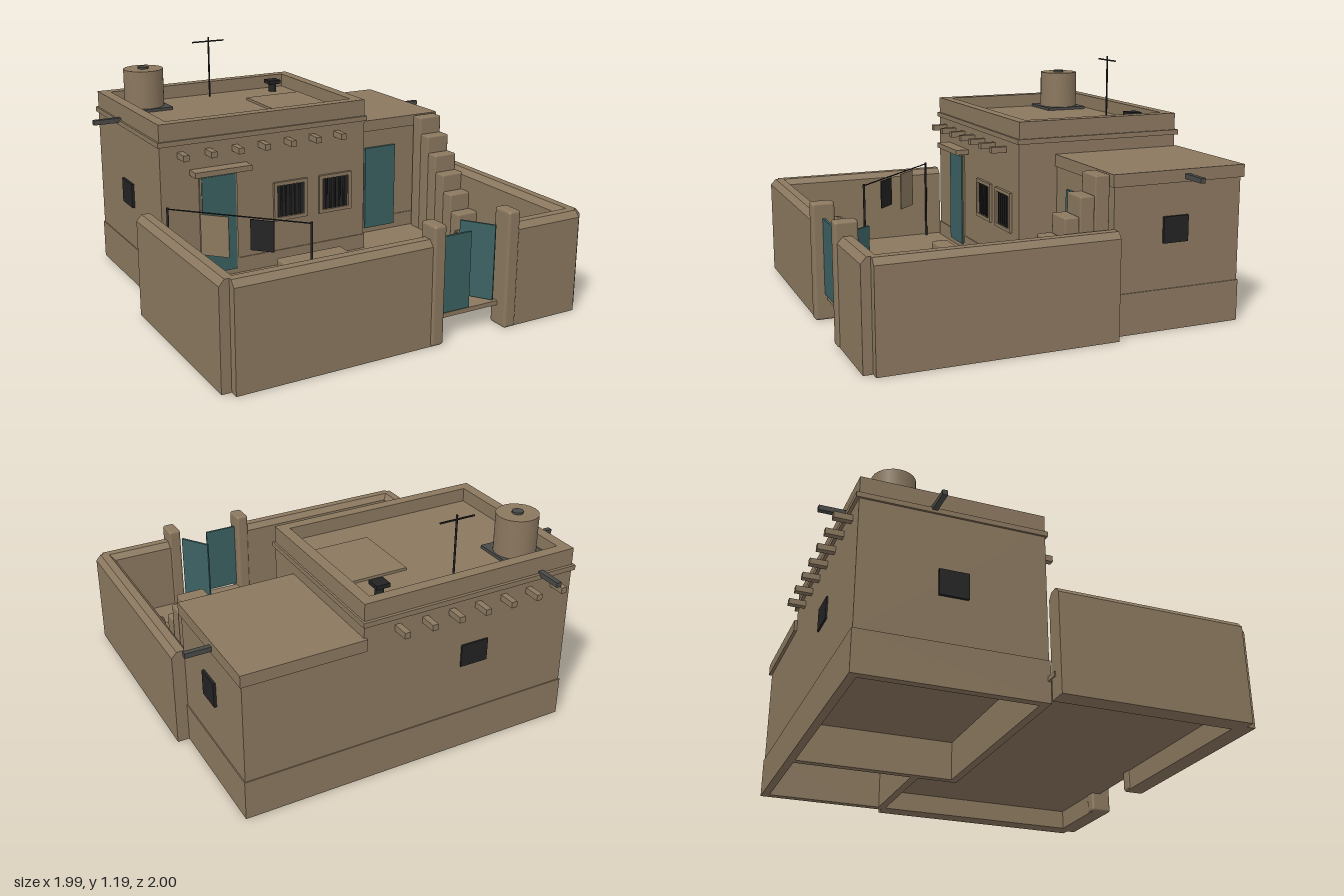
import * as THREE from 'three';
import { RoundedBoxGeometry } from 'three/addons/geometries/RoundedBoxGeometry.js';

export function createModel() {
  const model = new THREE.Group();
  const material = (name, color, extra = {}) => {
    const m = new THREE.MeshStandardMaterial({ color, ...extra });
    m.name = name;
    return m;
  };
  const mud = material('mud plaster', 0x8b785f);
  const teal = material('teal paint', 0x3b6162);
  const dark = material('dark iron', 0x222322);
  const grey = material('grey metal', 0x4a4a48);

  const add = (name, geometry, mat, x = 0, y = 0, z = 0) => {
    const mesh = new THREE.Mesh(geometry, mat);
    mesh.name = name;
    mesh.position.set(x, y, z);
    model.add(mesh);
    return mesh;
  };
  // Box given by its limits, optionally with rounded edges
  const box = (name, mat, x0, x1, y0, y1, z0, z1, r = 0) => {
    const s = [x1 - x0, y1 - y0, z1 - z0];
    const g = r ? new RoundedBoxGeometry(...s, 2, r) : new THREE.BoxGeometry(...s);
    return add(name, g, mat, (x0 + x1) / 2, (y0 + y1) / 2, (z0 + z1) / 2);
  };
  // Rectangular ring of walls, open above and below
  const ring = (name, x0, x1, y0, y1, z0, z1, t) => {
    const rect = (P, d) => new P([
      new THREE.Vector2(x0 + d, -z1 + d), new THREE.Vector2(x1 - d, -z1 + d),
      new THREE.Vector2(x1 - d, -z0 - d), new THREE.Vector2(x0 + d, -z0 - d)]);
    const shape = rect(THREE.Shape, 0);
    shape.holes.push(rect(THREE.Path, t));
    const g = new THREE.ExtrudeGeometry(shape, { depth: y1 - y0, bevelEnabled: false });
    return add(name, g.rotateX(-Math.PI / 2), mud, 0, y0, 0);
  };
  const cylinder = (name, mat, r, h, x, y, z, sides = 10) =>
    add(name, new THREE.CylinderGeometry(r, r, h, sides), mat, x, y, z);

  // Main house with parapet and cornice
  box('mainHouse', mud, -0.86, 0.27, 0.2, 0.86, -0.865, 0.01);
  ring('mainPlinth', -0.865, 0.275, 0, 0.2, -0.87, 0.015, 0.04);
  ring('parapet', -0.86, 0.27, 0.86, 0.93, -0.865, 0.01, 0.055);
  ring('cornice', -0.87, 0.28, 0.82, 0.845, -0.88, 0.02, 0.03);

  // Side annex with overhanging roof
  box('annex', mud, 0.26, 0.855, 0.2, 0.7, -0.865, -0.195);
  ring('annexPlinth', 0.235, 0.86, 0, 0.2, -0.87, -0.19, 0.04);
  box('annexRoof', mud, 0.26, 0.865, 0.7, 0.76, -0.88, -0.185);

  // Roof beams showing at front and back
  for (let i = 0; i < 7; i++) {
    const x = -0.755 + i * 0.1425;
    box('roofBeam', mud, x - 0.015, x + 0.015, 0.757, 0.787, -0.95, 0.09);
  }

  // Doors
  ring('doorFrame', -0.665, -0.465, 0.16, 0.65, 0.005, 0.02, 0.005);
  box('mainDoor', teal, -0.655, -0.475, 0.15, 0.645, 0, 0.025);
  box('doorCanopy', mud, -0.71, -0.41, 0.665, 0.692, 0, 0.08);
  box('annexDoor', teal, 0.4, 0.59, 0.15, 0.607, -0.2, -0.18);

  // Barred front windows
  for (const x of [-0.168, 0.092]) {
    const w = 0.095, i = 0.077;
    box('windowFrame', mud, x - w, x + w, 0.545, 0.563, 0, 0.025);
    box('windowFrame', mud, x - w, x + w, 0.36, 0.378, 0, 0.025);
    for (const s of [-1, 1]) {
      const c = x + s * (w + i) / 2;
      box('windowFrame', mud, c - 0.009, c + 0.009, 0.378, 0.545, 0, 0.025);
    }
    box('windowPane', dark, x - i, x + i, 0.378, 0.545, 0.008, 0.013);
    for (let k = -2; k <= 2; k++)
      cylinder('windowBar', dark, 0.005, 0.167, x + k * 0.026, 0.4615, 0.018, 8);
  }
  // Small side and back windows
  box('sideWindow', dark, 0.85, 0.868, 0.42, 0.545, -0.58, -0.45);
  box('sideWindow', dark, -0.873, -0.855, 0.42, 0.545, -0.5, -0.362);
  box('backWindow', dark, -0.395, -0.25, 0.46, 0.575, -0.873, -0.86);

  // Rain spouts
  box('rainSpout', grey, -1, -0.85, 0.833, 0.857, -0.537, -0.512);
  box('rainSpout', grey, 0.85, 0.99, 0.714, 0.738, -0.582, -0.557);
  box('rainSpout', grey, -0.688, -0.663, 0.833, 0.857, -1, -0.85);

  // Water tank on its pad
  box('tankPad', grey, -0.79, -0.563, 0.86, 0.875, -0.775, -0.545);
  cylinder('waterTank', mud, 0.103, 0.195, -0.675, 0.9725, -0.66, 24);
  cylinder('tankLid', grey, 0.028, 0.012, -0.675, 1.074, -0.66, 16);

  // Aerial, vent and roof hatch
  cylinder('aerialPole', dark, 0.005, 0.33, -0.26, 1.023, -0.755, 8);
  box('aerialBar', dark, -0.355, -0.17, 1.162, 1.169, -0.758, -0.752);
  cylinder('ventPipe', dark, 0.022, 0.05, 0.105, 0.885, -0.71, 10);
  box('ventCap', dark, 0.07, 0.14, 0.905, 0.925, -0.745, -0.675);
  box('roofHatch', mud, -0.125, 0.195, 0.855, 0.873, -0.57, -0.205);

  // Courtyard floor
  box('courtyardFloor', mud, -0.93, 0.87, 0.1, 0.122, 0, 0.935);
  box('courtyardFloor', mud, 0.27, 0.87, 0.1, 0.122, -0.195, 0);

  // Courtyard walls with bevelled tops
  const wall = (x, z, length, alongX) => {
    const h = 0.047, c = 0.026;
    const shape = new THREE.Shape([[-h, 0], [h, 0], [h, 0.478], [h - c, 0.507],
      [c - h, 0.507], [-h, 0.478]].map(p => new THREE.Vector2(...p)));
    const g = new THREE.ExtrudeGeometry(shape, { depth: length, bevelEnabled: false });
    add('courtyardWall', alongX ? g.rotateY(Math.PI / 2) : g, mud, x, 0, z);
  };
  wall(-0.938, 0.005, 0.935, false);
  wall(0.872, -0.2, 1.14, false);
  wall(-0.938, 0.937, 0.99, true);
  wall(0.47, 0.937, 0.405, true);

  // Gate posts and two leaves, one ajar
  for (const x of [0.062, 0.475])
    box('gatePost', mud, x - 0.033, x + 0.033, 0, 0.576, 0.885, 0.995, 0.014);
  box('gateLeaf', teal, 0.09, 0.268, 0.13, 0.5, 0.934, 0.946);
  const leaf = add('openGateLeaf', new THREE.BoxGeometry(0.172, 0.37, 0.012), teal, 0.369, 0.315, 0.86);
  leaf.rotation.y = -Math.atan2(0.14, 0.095);

  // Outdoor stair to the annex roof
  for (let i = 0; i < 7; i++) {
    const z = -0.18 + i * 0.0745;
    box('stairStep', mud, 0.706, 0.84, 0.11, 0.757 - i * 0.09, z, z + 0.0735, 0.008);
  }

  // Bench beside the house
  box('bench', mud, -0.33, 0.037, 0.11, 0.225, 0.167, 0.256, 0.012);

  // Stacked firewood
  for (let i = 0; i < 8; i++) {
    const row = i < 5 ? 0 : 1;
    const z = row ? 0.695 + (i - 5) * 0.032 : 0.675 + i * 0.029;
    const log = cylinder('firewoodLog', mud, 0.014, 0.295, 0.322, 0.135 + row * 0.024, z, 7);
    log.rotation.set(0, 0.03, Math.PI / 2);
  }

  // Clay oven and jars
  const vessel = (name, x, z, r, h, mouth, mat) => {
    const points = [[0, 0], [0.72, 0], [1, 0.4], [0.92, 0.65], [0.55, 0.93], [0.58, 1], [mouth, 1], [mouth, 0.9]]
      .map(p => new THREE.Vector2(p[0] * r, p[1] * h));
    const g = new THREE.LatheGeometry(points, 10).toNonIndexed();
    g.computeVertexNormals();
    add(name, g, mud, x, 0.12, z);
    const disc = add(name + 'Mouth', new THREE.CircleGeometry(mouth * r, 10), mat, x, 0.12 + h * 0.92, z);
    disc.rotation.x = -Math.PI / 2;
  };
  vessel('clayOven', -0.7, 0.7, 0.103, 0.19, 0.45, dark);
  for (const [x, z] of [[0.635, 0.375], [0.725, 0.535], [0.565, 0.582]])
    vessel('waterJar', x, z, 0.056, 0.14, 0.42, mud);

  // Washing line with two cloths
  const a = new THREE.Vector3(-0.865, 0.545, 0.1), b = new THREE.Vector3(-0.375, 0.545, 0.61);
  const angle = -Math.atan2(b.z - a.z, b.x - a.x);
  for (const p of [a, b]) cylinder('linePost', dark, 0.006, 0.435, p.x, 0.335, p.z, 8);
  const hang = (name, mat, t, w, top, h, d) => {
    const p = a.clone().lerp(b, t);
    add(name, new THREE.BoxGeometry(w, h, d), mat, p.x, top - h / 2, p.z).rotation.y = angle;
  };
  hang('washingLine', dark, 0.5, a.distanceTo(b), 0.548, 0.005, 0.005);
  hang('cloth', mud, 0.335, 0.14, 0.537, 0.2, 0.005);
  hang('darkCloth', dark, 0.665, 0.115, 0.537, 0.15, 0.005);

  return model;
}
